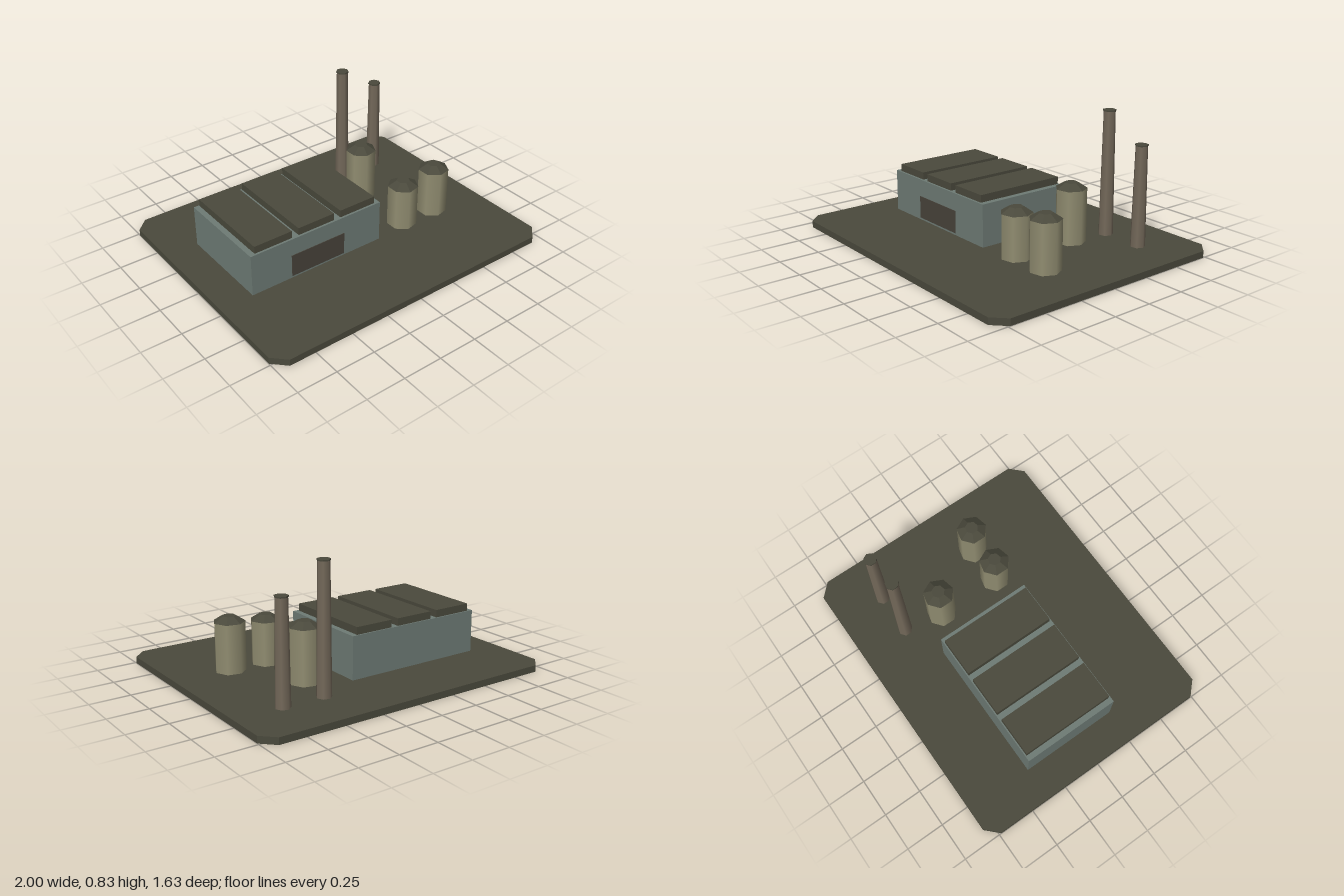
import * as THREE from 'three';

const mat = (name, color, flatShading = false) => {
  const m = new THREE.MeshStandardMaterial({ color, flatShading });
  m.name = name;
  return m;
};

export function createModel() {
  const dark = mat('dark olive', 0x4a493c, true);
  const wall = mat('grey green', 0x6e7b75);
  const tankMat = mat('khaki', 0x918d71);
  const stackMat = mat('brown', 0x74695a);
  const doorMat = mat('dark brown', 0x48433a);

  const model = new THREE.Group();
  model.name = 'factory';
  const add = (parent, name, geometry, material, x = 0, y = 0, z = 0) => {
    const mesh = new THREE.Mesh(geometry, material);
    mesh.name = name;
    mesh.position.set(x, y, z);
    parent.add(mesh);
    return mesh;
  };
  const group = (name, x, z) => {
    const g = new THREE.Group();
    g.name = name;
    g.position.set(x, 0, z);
    model.add(g);
    return g;
  };
  // Seven-sided round part with a corner facing +x, standing on its base
  const round = (top, bottom, height) =>
    new THREE.CylinderGeometry(top, bottom, height, 7).rotateY(Math.PI / 2).translate(0, height / 2, 0);

  // Ground slab with cut corners
  const W = 1, D = 0.815, C = 0.08, floor = 0.042;
  const outline = [[-W + C, -D], [W - C, -D], [W, -D + C], [W, D - C],
    [W - C, D], [-W + C, D], [-W, D - C], [-W, -D + C]];
  const slab = new THREE.ExtrudeGeometry(
    new THREE.Shape(outline.map(([x, y]) => new THREE.Vector2(x, y))),
    { depth: floor, bevelEnabled: false }).rotateX(-Math.PI / 2);
  add(model, 'groundSlab', slab, dark);

  // Hall with three roof panels and a front door
  const hall = group('hall', -0.32, -0.067);
  add(hall, 'hallWalls', new THREE.BoxGeometry(0.93, 0.27, 0.632), wall, 0, 0.177, 0);
  for (const i of [-1, 0, 1]) {
    add(hall, 'roofPanel', new THREE.BoxGeometry(0.255, 0.048, 0.61), dark, i * 0.302, 0.335, -0.003);
  }
  add(hall, 'door', new THREE.BoxGeometry(0.38, 0.145, 0.006), doorMat, 0, 0.128, 0.317);

  // Storage tanks: x, z, height of the body's top edge
  for (const [x, z, top] of [[0.382, 0.187, 0.317], [0.635, 0.187, 0.348], [0.382, -0.237, 0.38]]) {
    const tank = group('tank', x, z);
    add(tank, 'tankBody', round(0.096, 0.096, top - floor), tankMat, 0, floor, 0);
    add(tank, 'tankRoof', round(0.042, 0.098, 0.036), dark, 0, top, 0);
  }

  // Chimneys with a thin rim: x, full height
  for (const [x, top] of [[0.425, 0.83], [0.695, 0.67]]) {
    const chimney = group('chimney', x, -0.495);
    add(chimney, 'chimneyStack', round(0.037, 0.046, top - 0.008 - floor), stackMat, 0, floor, 0);
    add(chimney, 'chimneyRim', round(0.041, 0.041, 0.008), dark, 0, top - 0.008, 0);
  }

  return model;
}
